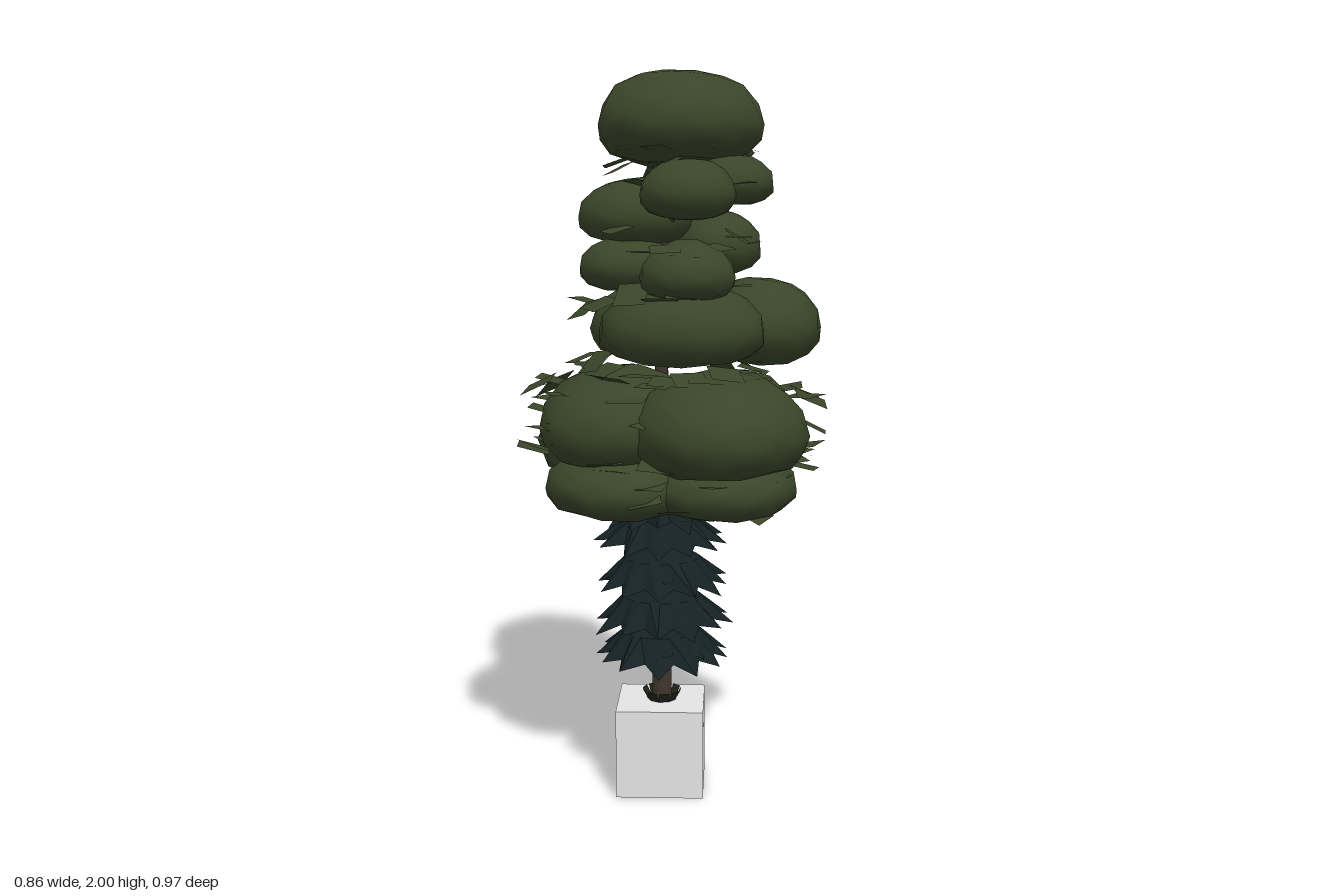
import * as THREE from 'three';

const CX = -0.03, CZ = 0.06; // trunk axis

function seeded(seed) {
  let s = seed;
  return () => (s = (s * 16807) % 2147483647) / 2147483647;
}

// Leaf clump: tall domed crown, flat boxier underside, slightly irregular outline
function clumpGeometry([x, y, z, rx, ry, rz, detail], seed) {
  const geo = new THREE.IcosahedronGeometry(1, detail);
  const pos = geo.attributes.position;
  const v = new THREE.Vector3();
  for (let i = 0; i < pos.count; i++) {
    v.fromBufferAttribute(pos, i);
    const p = v.y > 0 ? 2.1 : 2.8;
    const round = (Math.hypot(v.x, v.z) ** p + Math.abs(v.y) ** p) ** (-1 / p);
    const bump = 1.0 + 0.05 * Math.sin(v.x * 4 + seed) * Math.cos(v.z * 5 + seed * 2);
    v.multiplyScalar(round * bump);
    pos.setXYZ(i, v.x, v.y * (v.y > 0 ? 1.2 : 0.82) - 0.18, v.z);
  }
  geo.scale(rx, ry, rz);
  geo.translate(x, y, z);
  return geo;
}

// Drooping ring of pointed needles: rings from the trunk out to zigzag tips
function skirtGeometry(y, radius, height, spikes, seed) {
  const rnd = seeded(seed);
  const n = spikes * 2, pts = [], idx = [];
  const turn = rnd() * 6;
  for (let i = 0; i < n; i++) {
    const a = turn + (i / n) * Math.PI * 2;
    const tip = i % 2 === 0;
    const r = tip ? radius * (0.92 + rnd() * 0.16) : radius * 0.76;
    const rings = [[0.02, height], [radius * 0.54, height * 0.8], [r, tip ? rnd() * 0.03 : 0.035]];
    for (const [rr, h] of rings) pts.push(CX + Math.cos(a) * rr, y + h, CZ + Math.sin(a) * rr);
  }
  for (let i = 0; i < n; i++) {
    const a = i * 3, b = ((i + 1) % n) * 3;
    for (let k = 0; k < 2; k++) idx.push(a + k, b + k, a + k + 1, b + k, b + k + 1, a + k + 1);
  }
  const geo = new THREE.BufferGeometry();
  geo.setAttribute('position', new THREE.Float32BufferAttribute(pts, 3));
  geo.setIndex(idx);
  const flat = geo.toNonIndexed();
  flat.computeVertexNormals();
  return flat;
}

export function createModel() {
  const root = new THREE.Group();
  root.name = 'pottedTree';

  const material = (name, color, side = THREE.FrontSide) => {
    const m = new THREE.MeshStandardMaterial({ color, side });
    m.name = name;
    return m;
  };
  const stone = material('paleStone', 0xe4e4e4);
  const bark = material('brownBark', 0x40352e);
  const leaf = material('oliveLeaf', 0x3a4529, THREE.DoubleSide);
  const needle = material('blueNeedle', 0x152124, THREE.DoubleSide);
  const dark = material('darkGrass', 0x20241a, THREE.DoubleSide);

  const add = (parent, name, geo, mat) => {
    const mesh = new THREE.Mesh(geo, mat);
    mesh.name = name;
    parent.add(mesh);
    return mesh;
  };
  const group = (name) => {
    const g = new THREE.Group();
    g.name = name;
    root.add(g);
    return g;
  };

  // Square planter block with a dark slot on its left and back faces
  add(root, 'planter', new THREE.BoxGeometry(0.243, 0.25, 0.243), stone).position.set(CX - 0.002, 0.125, CZ);
  add(root, 'sideSlot', new THREE.BoxGeometry(0.002, 0.007, 0.06), dark).position.set(0.089, 0.18, CZ);
  add(root, 'backSlot', new THREE.BoxGeometry(0.035, 0.007, 0.002), dark).position.set(CX, 0.18, CZ - 0.121);

  // Trunk and branches
  const trunk = new THREE.CylinderGeometry(0.012, 0.029, 1.58, 10);
  add(root, 'trunk', trunk, bark).position.set(CX, 1.03, CZ);
  const branches = group('branches');
  const branch = (from, to) => {
    const a = new THREE.Vector3(...from), b = new THREE.Vector3(...to);
    const mid = a.clone().lerp(b, 0.5);
    mid.y -= 0.02;
    add(branches, 'branch', new THREE.TubeGeometry(new THREE.QuadraticBezierCurve3(a, mid, b), 4, 0.01, 5), bark);
  };

  // Leaf clumps: centre x y z, radii x y z, subdivision
  const clumps = [
    [0.02, 1.875, 0.055, 0.22, 0.125, 0.23, 2],
    [0.04, 1.79, 0.0, 0.18, 0.05, 0.13, 1],
    [0.045, 1.685, 0.2, 0.13, 0.08, 0.125, 2],
    [-0.1, 1.625, 0.03, 0.155, 0.09, 0.13, 2],
    [0.14, 1.71, 0.07, 0.13, 0.07, 0.12, 2],
    [0.12, 1.54, -0.05, 0.12, 0.09, 0.145, 2],
    [0.045, 1.47, 0.19, 0.13, 0.08, 0.135, 2],
    [-0.12, 1.485, 0.05, 0.135, 0.075, 0.13, 2],
    [0.03, 1.325, 0.17, 0.22, 0.108, 0.14, 2],
    [0.24, 1.32, -0.06, 0.17, 0.12, 0.19, 2],
    [-0.08, 1.32, -0.03, 0.15, 0.1, 0.17, 2],
    [0.13, 1.065, 0.2, 0.235, 0.14, 0.27, 2],
    [-0.1, 0.985, -0.19, 0.315, 0.155, 0.29, 1],
    [-0.14, 1.065, 0.08, 0.23, 0.14, 0.27, 2],
    [0.17, 1.05, -0.03, 0.18, 0.13, 0.2, 2],
    [-0.13, 0.9, 0.14, 0.21, 0.095, 0.22, 2],
    [0.13, 0.9, 0.14, 0.21, 0.095, 0.23, 2],
    [0.13, 0.92, -0.13, 0.17, 0.09, 0.18, 2],
  ];
  const canopy = group('canopy');
  clumps.forEach((c, i) => {
    add(canopy, 'leafClump', clumpGeometry(c, i * 1.7 + 1), leaf);
    if (i > 1) branch([CX, c[1] - 0.12, CZ], [c[0], c[1], c[2]]);
  });

  // Loose leaf cards ringing each layer: centre x y z, radii x z, height spread, count, size
  const cardRows = [
    [0.0, 1.03, 0.04, 0.37, 0.29, 0.26, 64, 0.1],
    [0.0, 0.85, 0.05, 0.3, 0.27, 0.08, 26, 0.09],
    [0.0, 1.2, 0.06, 0.24, 0.25, 0.06, 30, 0.09],
    [-0.02, 1.4, 0.05, 0.22, 0.23, 0.08, 16, 0.09],
    [0.0, 1.55, 0.04, 0.2, 0.22, 0.08, 16, 0.08],
    [0.03, 1.72, 0.06, 0.19, 0.19, 0.08, 14, 0.08],
    [0.03, 1.8, 0.06, 0.18, 0.2, 0.04, 8, 0.07],
  ];
  const rnd = seeded(4711);
  const cards = group('leafCards');
  for (const [x, y, z, rx, rz, spread, count, size] of cardRows) {
    for (let i = 0; i < count; i++) {
      const a = ((i + rnd() * 0.8) / count) * Math.PI * 2;
      const r = 0.88 + rnd() * 0.18;
      const card = add(cards, 'leafCard', new THREE.PlaneGeometry(size, size * 0.9), leaf);
      card.rotation.order = 'YXZ';
      card.rotation.set(-Math.PI / 2 + (rnd() - 0.3) * 1.1, Math.PI / 2 - a, (rnd() - 0.5) * 0.8);
      card.position.set(x + Math.cos(a) * rx * r, y + (rnd() - 0.5) * spread, z + Math.sin(a) * rz * r);
    }
  }

  // Stacked needle skirts below the canopy
  const skirts = group('needleSkirts');
  const tiers = [[0.36, 0.2], [0.46, 0.2], [0.57, 0.195], [0.685, 0.18], [0.755, 0.165]];
  tiers.forEach(([y, r], i) => {
    add(skirts, 'needleSkirt', skirtGeometry(y, r, 0.12, 12, 31 + i * 57), needle);
    add(skirts, 'innerSkirt', skirtGeometry(y + 0.03, r * 0.78, 0.07, 9, 911 + i * 73), needle);
  });

  // Short grass tuft at the trunk base
  const tuft = group('grassTuft');
  for (let i = 0; i < 9; i++) {
    const a = (i / 9) * Math.PI * 2;
    const blade = add(tuft, 'grassBlade', new THREE.PlaneGeometry(0.03, 0.035), dark);
    blade.rotation.order = 'YXZ';
    blade.rotation.set(0.5, Math.PI / 2 - a, 0);
    blade.position.set(CX + Math.cos(a) * 0.045, 0.264, CZ + Math.sin(a) * 0.045);
  }
  return root;
}
